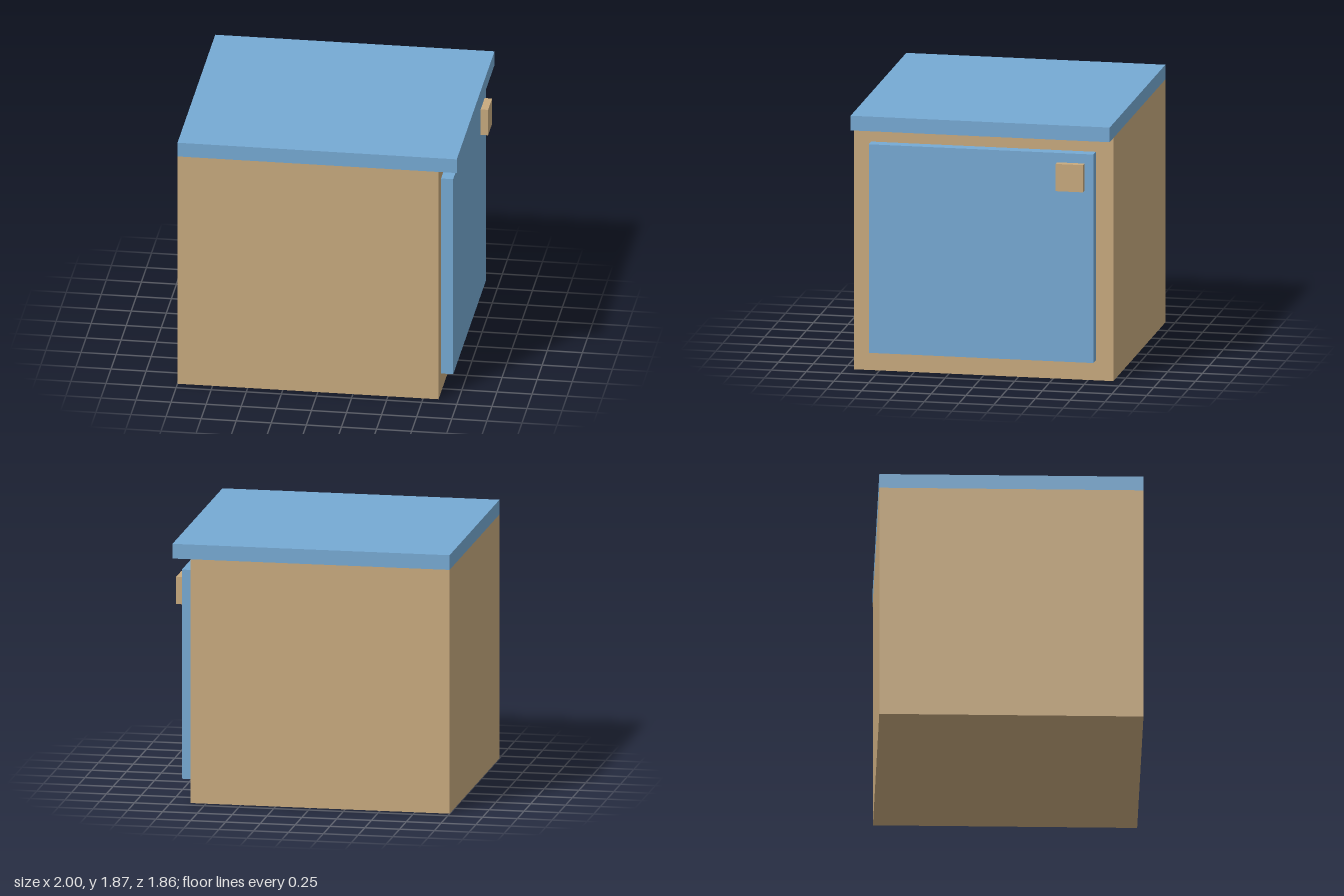
import * as THREE from 'three';

const wood = new THREE.MeshStandardMaterial({ color: 0xc8aa7e });
const blue = new THREE.MeshStandardMaterial({ color: 0x76aad4 });

// Box given by its extents along each axis
function block(name, [x0, x1], [y0, y1], [z0, z1], material) {
  const mesh = new THREE.Mesh(new THREE.BoxGeometry(x1 - x0, y1 - y0, z1 - z0), material);
  mesh.name = name;
  mesh.position.set((x0 + x1) / 2, (y0 + y1) / 2, (z0 + z1) / 2);
  return mesh;
}

export function createModel() {
  const cabinet = new THREE.Group();
  cabinet.name = 'cabinet';

  // Worktop: blue with a bare wood underside
  const topFaces = [blue, blue, blue, wood, blue, blue];

  cabinet.add(
    block('body', [-1, 0.86], [0, 1.76], [-0.932, 0.932], wood),
    block('worktop', [-1, 0.99], [1.76, 1.866], [-0.932, 0.932], topFaces),
    block('door', [0.86, 0.947], [0.145, 1.655], [-0.806, 0.81], blue),
    block('doorHandle', [0.947, 1], [1.39, 1.587], [-0.742, -0.545], wood)
  );
  return cabinet;
}
